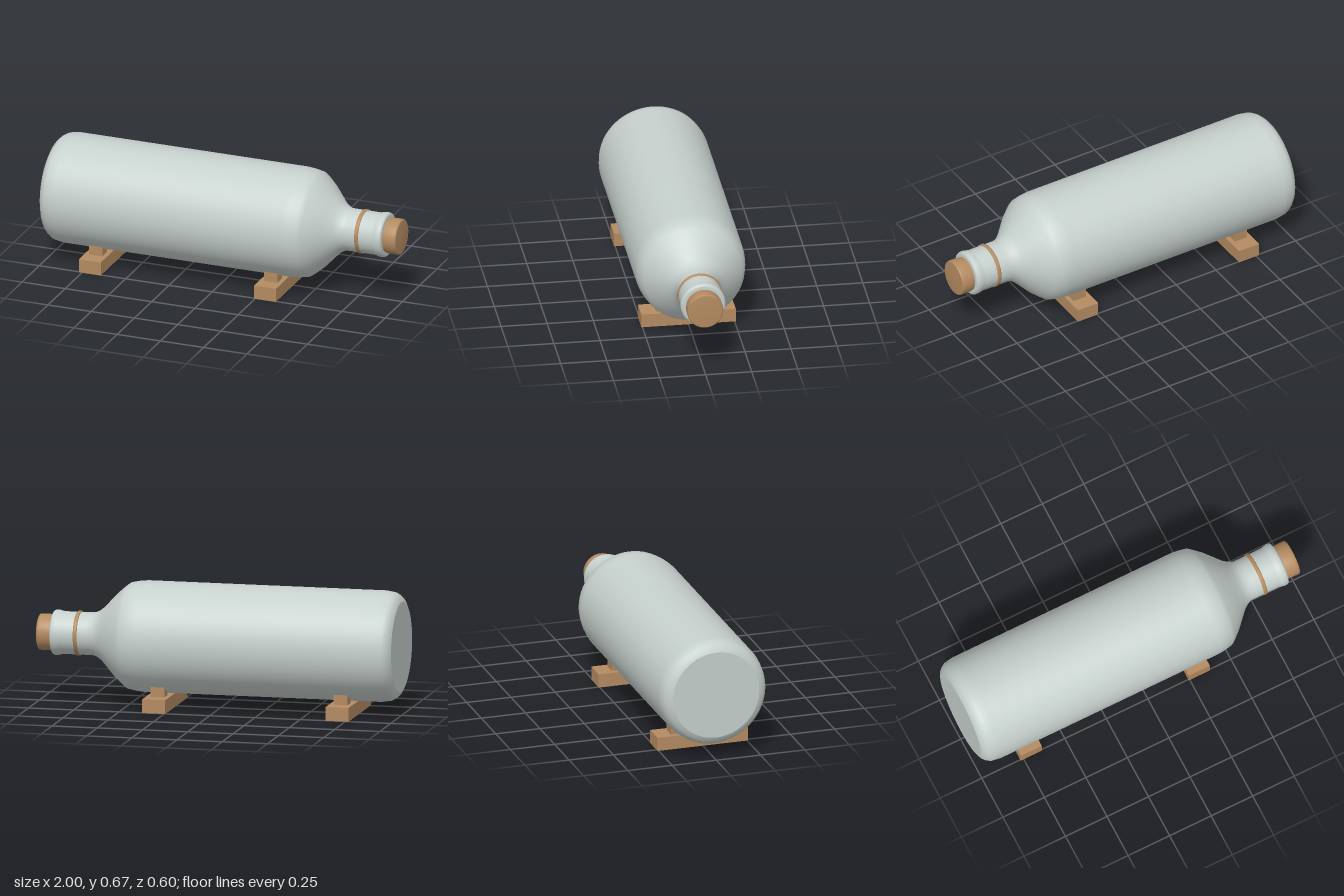
import * as THREE from 'three';

const AXIS_Y = 0.374;

export function createModel() {
  const model = new THREE.Group();
  model.name = 'bottleOnStand';
  const glass = new THREE.MeshStandardMaterial({ color: 0xc6d0cc });
  glass.name = 'pale glass';
  const wood = new THREE.MeshStandardMaterial({ color: 0xb48b61 });
  wood.name = 'brown wood';

  // Turned part lying along x; profile entries are [x, radius]
  function turned(name, profile, material) {
    const points = profile.map(([x, r]) => new THREE.Vector2(r, x));
    const mesh = new THREE.Mesh(new THREE.LatheGeometry(points, 64), material);
    mesh.name = name;
    mesh.rotation.z = -Math.PI / 2;
    mesh.position.y = AXIS_Y;
    model.add(mesh);
  }

  function box(name, size, position, parent) {
    const mesh = new THREE.Mesh(new THREE.BoxGeometry(...size), wood);
    mesh.name = name;
    mesh.position.set(...position);
    parent.add(mesh);
  }

  // Bottle: flat base, body with shoulder and neck, lip
  turned('bottleBase', [[-1, 0], [-1, 0.243]], glass);
  turned('bottleBody', [
    [-1, 0.243], [-0.99, 0.265], [-0.975, 0.28], [-0.955, 0.292], [-0.905, 0.3],
    [0.41, 0.3], [0.45, 0.296], [0.495, 0.287], [0.52, 0.268], [0.56, 0.233],
    [0.6, 0.19], [0.64, 0.147], [0.665, 0.128], [0.69, 0.116], [0.72, 0.115],
    [0.86, 0.115], [0.875, 0.118], [0.89, 0.122], [0.908, 0.122], [0.917, 0.117],
    [0.92, 0.109], [0.92, 0.09],
  ], glass);

  // Band round the neck
  turned('neckBand', [
    [0.767, 0.114], [0.768, 0.119], [0.772, 0.121],
    [0.784, 0.121], [0.788, 0.119], [0.789, 0.114],
  ], wood);

  // Stopper with a softly rounded end
  turned('cork', [
    [0.9, 0.094], [0.925, 0.094], [0.935, 0.097], [0.96, 0.098], [0.985, 0.098],
    [0.994, 0.096], [0.998, 0.09], [1, 0],
  ], wood);

  // Two cradles, each a cross bar with a pair of chocks
  for (const x of [-0.705, 0.307]) {
    const cradle = new THREE.Group();
    cradle.name = 'cradle';
    cradle.position.x = x;
    box('crossBar', [0.127, 0.075, 0.512], [0, 0.0375, 0], cradle);
    for (const side of [-1, 1]) {
      box('chock', [0.077, 0.056, 0.068], [0, 0.102, side * 0.138], cradle);
    }
    model.add(cradle);
  }
  return model;
}
